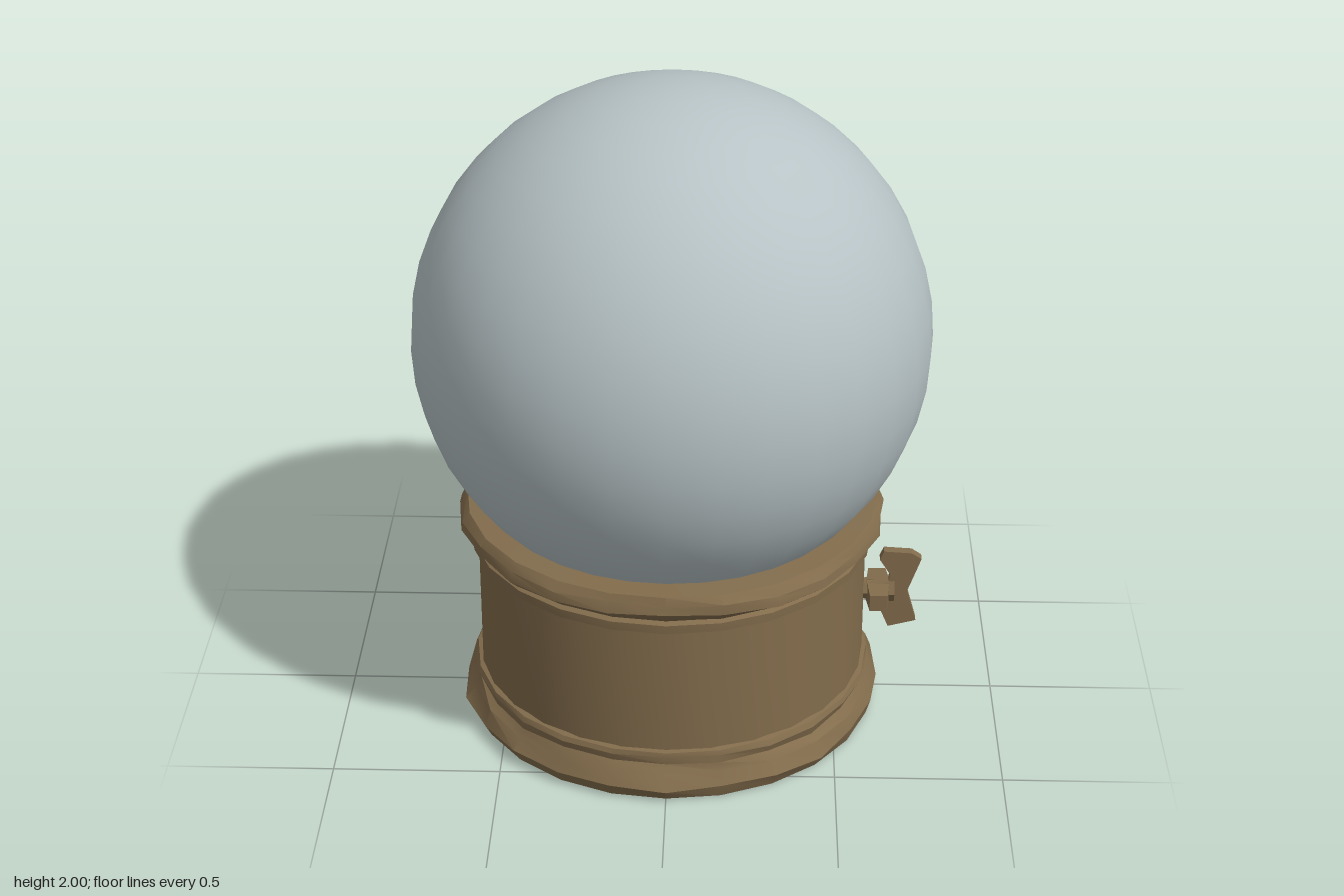
import * as THREE from 'three';
import { toCreasedNormals } from 'three/addons/utils/BufferGeometryUtils.js';

const glass = new THREE.MeshStandardMaterial({ color: 0xb7c3c6 });
glass.name = 'pale glass';
const wood = new THREE.MeshStandardMaterial({ color: 0x826c4c, side: THREE.DoubleSide });
wood.name = 'brown wood';

function part(name, geometry, material, crease = 0.5) {
  const mesh = new THREE.Mesh(crease ? toCreasedNormals(geometry, crease) : geometry, material);
  mesh.name = name;
  return mesh;
}

// Repeatable value from -1 to 1
function wobble(i, j) {
  const s = Math.sin(i * 12.99 + j * 78.23) * 43758.5;
  return (s - Math.floor(s)) * 2 - 1;
}

// Turned ring; a third value in a profile point is how roughly it is carved
function turned(profile, segments = 24) {
  const g = new THREE.LatheGeometry(profile.map(([r, y]) => new THREE.Vector2(r, y)), segments);
  const p = g.attributes.position;
  for (let k = 0; k < p.count; k++) {
    const j = k % profile.length;
    const i = Math.floor(k / profile.length) % segments;
    const rough = profile[j][2] || 0;
    const s = 1 + rough * wobble(i, j);
    p.setXYZ(k, p.getX(k) * s, p.getY(k) + 0.5 * rough * wobble(i + 31, j), p.getZ(k) * s);
  }
  return g;
}

function createBase() {
  const base = new THREE.Group();
  base.name = 'base';

  // Foot, drum wall and upper rim
  base.add(part('foot', turned([
    [0.6, 0.005], [0.625, 0.008], [0.645, 0.05, 0.018], [0.625, 0.095, 0.018],
    [0.605, 0.115, 0.01], [0.61, 0.14, 0.006], [0.605, 0.155], [0.588, 0.16],
  ]), wood));
  base.add(part('drum', turned([[0.592, 0.155], [0.592, 0.57]], 28), wood));
  base.add(part('rim', turned([
    [0.59, 0.568], [0.61, 0.572], [0.612, 0.6], [0.598, 0.608], [0.615, 0.62, 0.008],
    [0.64, 0.645, 0.012], [0.637, 0.675, 0.012], [0.62, 0.7], [0.52, 0.705],
  ]), wood));

  // Hollow underside with a square socket in the middle
  base.add(part('underside', turned([
    [0.16, 0.14], [0.3, 0.132], [0.42, 0.112], [0.52, 0.075], [0.58, 0.03], [0.6, 0.005],
  ]), wood));
  const ring = new THREE.Shape().absarc(0, 0, 0.16, 0, Math.PI * 2);
  const h = 0.11;
  ring.holes.push(new THREE.Path([[-h, -h], [-h, h], [h, h], [h, -h]].map((c) => new THREE.Vector2(...c))));
  const collar = part('socketCollar', new THREE.ShapeGeometry(ring, 12).rotateX(Math.PI / 2), wood);
  collar.position.y = 0.14;
  const walls = part('socketWalls',
    new THREE.CylinderGeometry(h * Math.SQRT2, h * Math.SQRT2, 0.06, 4, 1, true, Math.PI / 4), wood);
  walls.position.y = 0.17;
  const end = part('socketEnd', new THREE.PlaneGeometry(2 * h, 2 * h).rotateX(Math.PI / 2), wood);
  end.position.y = 0.2;
  base.add(collar, walls, end);
  return base;
}

function createKey() {
  const key = new THREE.Group();
  key.name = 'windingKey';

  // Butterfly grip
  const outline = [[0.65, 0.5], [0.735, 0.495], [0.765, 0.475], [0.725, 0.36], [0.755, 0.255],
    [0.67, 0.232], [0.637, 0.31], [0.665, 0.36], [0.67, 0.42], [0.638, 0.47]];
  const shape = new THREE.Shape(outline.map((c) => new THREE.Vector2(...c)));
  const depth = 0.03;
  const grip = new THREE.ExtrudeGeometry(shape, { depth, bevelEnabled: false });
  key.add(part('keyGrip', grip.translate(0, 0, -depth / 2), wood));

  // Short shaft into the drum
  const shaft = part('keyShaft', new THREE.CylinderGeometry(0.04, 0.03, 0.12, 6), wood);
  shaft.rotation.z = -Math.PI / 2;
  shaft.position.set(0.625, 0.36, 0);
  key.add(shaft);

  // Cross arms, tapering towards their ends
  for (const side of [1, -1]) {
    const arm = part('keyArm', new THREE.CylinderGeometry(0.038, 0.05, 0.08, 4, 1, false, Math.PI / 4), wood);
    arm.rotation.x = side * Math.PI / 2;
    arm.position.set(0.635, 0.355, side * 0.042);
    key.add(arm);
  }
  return key;
}

export function createModel() {
  const model = new THREE.Group();
  model.name = 'snowGlobe';

  const globe = part('globe', new THREE.SphereGeometry(0.766, 32, 22), glass, 0);
  globe.position.y = 1.234;
  model.add(globe, createBase(), createKey());
  return model;
}
